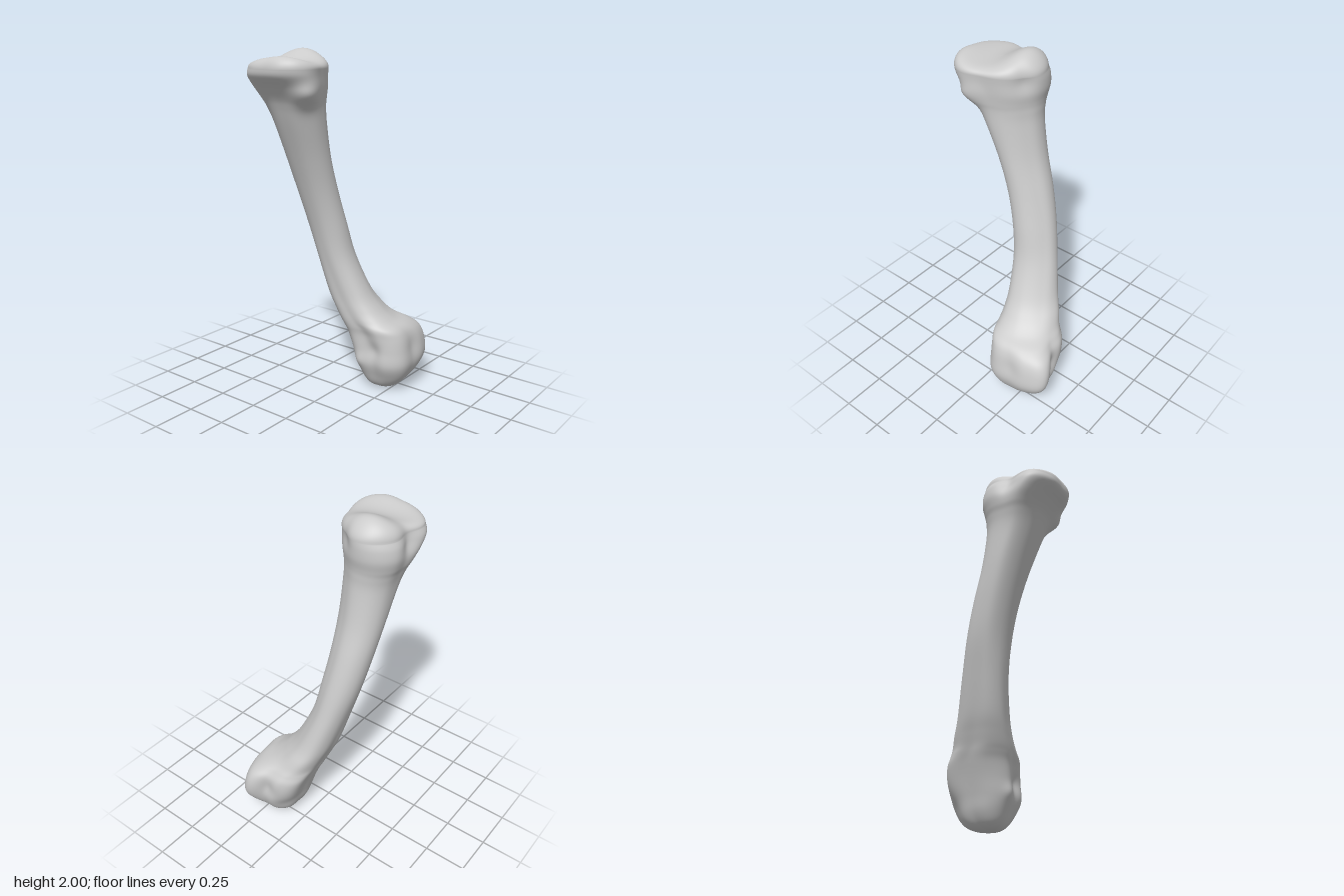
import * as THREE from 'three';

// Outline radii every 30 degrees (from +x towards +z), relative to a section's half sizes
const BASE = [0.97, 0.87, 0.86, 0.92, 1.17, 1.13, 1.0, 1.05, 1.1, 0.95, 1.03, 1.03];
const SHAFT = [0.98, 0.87, 0.89, 1, 1.09, 1.09, 1, 0.97, 0.98, 0.97, 1.0, 1.02];
const LOWER_SHAFT = [1.03, 0.88, 0.87, 0.98, 1.08, 1.02, 0.96, 1.08, 1.1, 0.98, 1.08, 1.15];
const HEAD = [0.85, 1.17, 1.07, 0.97, 1.11, 1.04, 0.9, 1.09, 1.09, 0.98, 1.06, 0.95];

// Cross-sections: y, x from, x to, z from, z to, share of base outline, share of head outline
const SECTIONS = [
  // rounded head
  [0, 0.19, 0.19, 0.18, 0.18, 0, 0],
  [0.01, 0.135, 0.265, 0.13, 0.24, 0, 0.1],
  [0.04, 0.095, 0.33, 0.09, 0.295, 0, 0.3],
  [0.1, 0.06, 0.395, 0.055, 0.347, 0, 0.7],
  [0.18, 0.025, 0.44, 0.03, 0.375, 0, 1],
  [0.27, 0.02, 0.45, 0, 0.368, 0, 1],
  [0.35, 0.015, 0.43, -0.03, 0.35, 0, 0.9],
  [0.4, 0.005, 0.385, -0.05, 0.32, 0, 0.6],
  [0.44, 0, 0.34, -0.065, 0.255, 0, 0.2],
  // curved shaft
  [0.5, -0.005, 0.305, -0.09, 0.19, 0, 0],
  [0.6, -0.015, 0.26, -0.13, 0.12, 0, 0],
  [0.8, -0.04, 0.21, -0.19, 0.035, 0, 0],
  [1, -0.075, 0.165, -0.245, 0, 0, 0],
  [1.2, -0.13, 0.11, -0.28, -0.02, 0, 0],
  [1.4, -0.2, 0.05, -0.305, -0.02, 0, 0],
  [1.6, -0.28, 0.015, -0.325, -0.005, 0.3, 0],
  // flared base
  [1.69, -0.315, 0.012, -0.345, 0.005, 0.6, 0],
  [1.74, -0.34, 0.017, -0.365, 0.018, 0.8, 0],
  [1.8, -0.385, 0.03, -0.382, 0.035, 1, 0],
  [1.86, -0.44, 0.033, -0.382, 0.047, 1, 0],
  [1.9, -0.45, 0.03, -0.365, 0.052, 1, 0],
];

// Local swellings and hollows: x, y, z, reach, outward push
const BUMPS = [
  [-0.2, 1.86, -0.37, 0.07, -0.03],
  [0.0, 1.87, -0.08, 0.06, -0.015],
  [-0.32, 1.745, 0.02, 0.07, 0.05],
  [0.24, 0.28, 0.37, 0.06, -0.007],
  [0.4, 0.27, 0.15, 0.06, -0.02],
  [0.03, 0.27, 0.22, 0.05, -0.015],
  [0.02, 0.19, 0.11, 0.04, 0.01],
  [0.36, 0.12, 0.06, 0.08, -0.02],
];

const AROUND = 96;
const STEPS = 6;
const CAP_RINGS = 20;
const gauss = (d, r) => Math.exp(-(d * d) / (r * r));

// Smooth curve through four neighbouring values
function spline(a, b, c, d, t) {
  const m0 = (c - a) / 2, m1 = (d - b) / 2;
  return ((2 * b - 2 * c + m0 + m1) * t + (-3 * b + 3 * c - 2 * m0 - m1)) * t * t + m0 * t + b;
}

function radiusAt(table, j) {
  const f = (j / AROUND) * 12, i = Math.floor(f);
  const at = (k) => table[(k + 12) % 12];
  return spline(at(i - 1), at(i), at(i + 1), at(i + 2), f - i);
}

function sectionAt(i, t) {
  const at = (k) => SECTIONS[THREE.MathUtils.clamp(k, 0, SECTIONS.length - 1)];
  return at(i).map((v, k) => spline(at(i - 1)[k], v, at(i + 1)[k], at(i + 2)[k], t));
}

// Ring of points for one section, with the swellings applied
function makeRing([y, x0, x1, z0, z1, base, head]) {
  const cx = (x0 + x1) / 2, cz = (z0 + z1) / 2;
  const upper = THREE.MathUtils.smoothstep(y, 0.5, 1.05);
  const ring = [];
  for (let j = 0; j < AROUND; j++) {
    const a = (j / AROUND) * Math.PI * 2;
    const shaft = THREE.MathUtils.lerp(radiusAt(LOWER_SHAFT, j), radiusAt(SHAFT, j), upper);
    const r = shaft * (1 - base - head) + radiusAt(BASE, j) * base + radiusAt(HEAD, j) * head;
    const p = new THREE.Vector3(cx + ((x1 - x0) / 2) * r * Math.cos(a), y, cz + ((z1 - z0) / 2) * r * Math.sin(a));
    let push = 0;
    for (const [bx, by, bz, reach, amount] of BUMPS) {
      push += amount * gauss(p.distanceTo(new THREE.Vector3(bx, by, bz)), reach);
    }
    p.x += push * Math.cos(a);
    p.z += push * Math.sin(a);
    ring.push(p);
  }
  return ring;
}

// Saddle-shaped joint surface on top: a ridge on one side, a rounded peak on the other
function topHeight(x, z) {
  const ridge = 0.04 * gauss(x + 0.42, 0.1) * THREE.MathUtils.smoothstep(z, -0.45, -0.05);
  const peak = 0.07 * gauss(x + 0.08, 0.11) * gauss(z + 0.2, 0.16);
  return 1.932 + ridge + peak;
}

function boneGeometry() {
  const rings = [];
  const last = SECTIONS.length - 1;
  for (let i = 0; i < last; i++) {
    for (let s = 0; s < STEPS; s++) rings.push(makeRing(sectionAt(i, s / STEPS)));
  }
  const rim = makeRing(SECTIONS[last]);
  rings.push(rim);

  // joint surface: rim rings shrinking to the middle
  for (let k = 1; k <= CAP_RINGS; k++) {
    const s = 1 - (k / CAP_RINGS) ** 2;
    const lift = Math.sqrt(1 - s ** 7);
    rings.push(rim.map((p) => {
      const x = -0.21 + (p.x + 0.21) * s, z = -0.155 + (p.z + 0.155) * s;
      return new THREE.Vector3(x, p.y + (topHeight(x, z) - p.y) * lift, z);
    }));
  }

  const index = [];
  for (let i = 0; i < rings.length - 1; i++) {
    for (let j = 0; j < AROUND; j++) {
      const k = (j + 1) % AROUND;
      const a = i * AROUND + j, b = i * AROUND + k;
      index.push(a, a + AROUND, b, b, a + AROUND, b + AROUND);
    }
  }
  const geometry = new THREE.BufferGeometry().setFromPoints(rings.flat());
  geometry.setIndex(index);
  geometry.computeVertexNormals();
  return geometry;
}

export function createModel() {
  const group = new THREE.Group();
  group.name = 'handBone';
  const bone = new THREE.Mesh(boneGeometry(), new THREE.MeshStandardMaterial({ color: 0xcccccc }));
  bone.name = 'bone';
  group.add(bone);
  return group;
}
